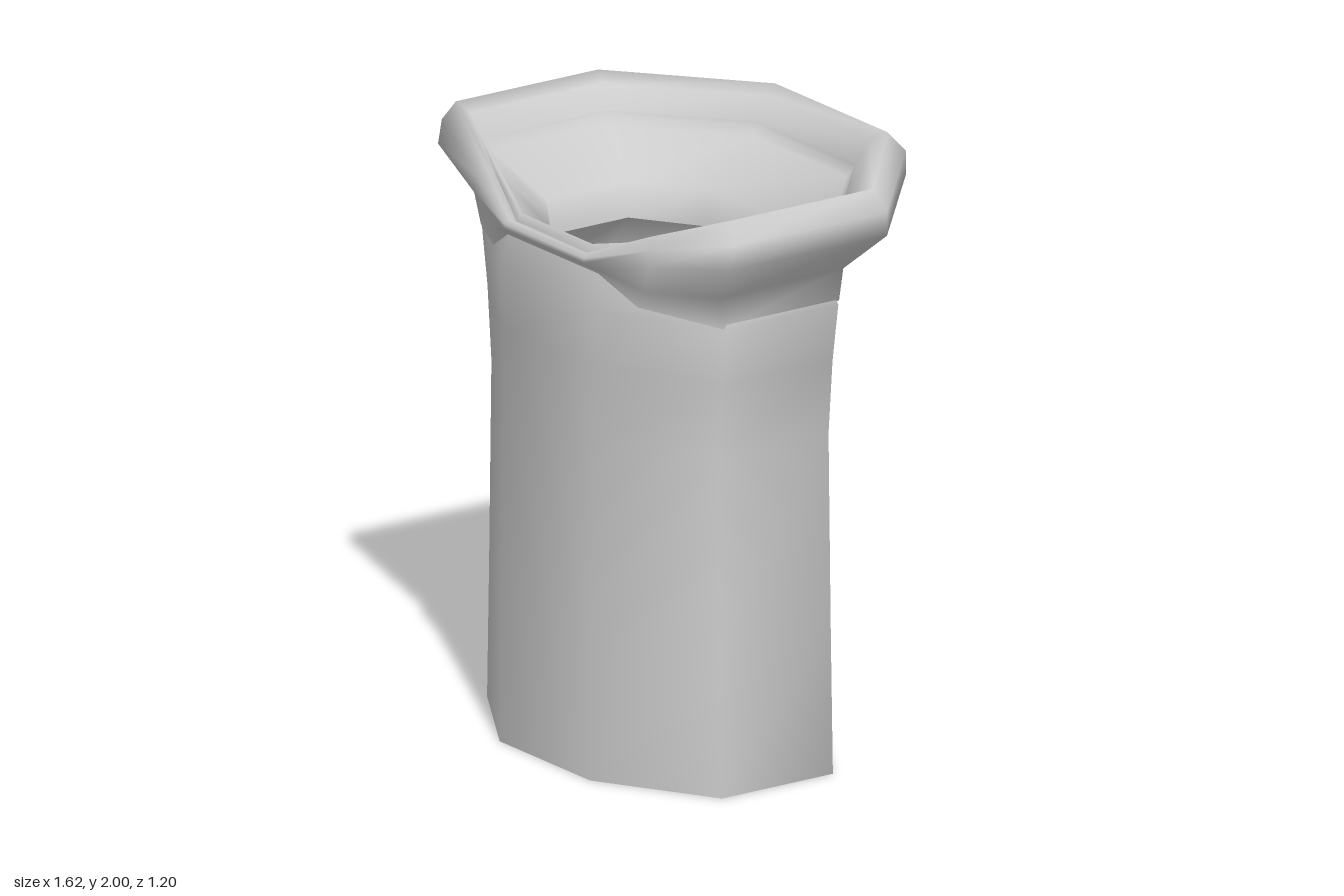
import * as THREE from 'three';

// Closed ring from corners [x, y, z] listed front to back on the +x half, then mirrored
function ring(...half) {
  const mirrored = half.map(([x, y, z]) => [-x, y, z]).reverse();
  return [...half, ...mirrored];
}

// Skin a list of rings into one smooth surface
function loft(rings) {
  const n = rings[0].length;
  const index = [];
  for (let r = 0; r < rings.length - 1; r++) {
    for (let i = 0; i < n; i++) {
      const a = r * n + i, b = r * n + (i + 1) % n;
      index.push(a, b, b + n, a, b + n, a + n);
    }
  }
  const geo = new THREE.BufferGeometry();
  geo.setAttribute('position', new THREE.Float32BufferAttribute(rings.flat(2), 3));
  geo.setIndex(index);
  geo.computeVertexNormals();
  return geo;
}

// Body cross-section: height, half width, front z, inset from the outer wall
function bodyRing(y, w, front, inset = 0) {
  return ring(
    [0.25 - inset * 0.4, y, front - inset],
    [w - inset, y, 0.36 - inset * 0.4],
    [w - inset, y, -0.08 + inset * 0.4],
    [0.25 - inset * 0.4, y, -0.32 + inset]
  );
}

export function createModel() {
  const group = new THREE.Group();
  const grey = new THREE.MeshStandardMaterial({ color: 0xcccccc, side: THREE.DoubleSide });
  const black = new THREE.MeshStandardMaterial({ color: 0x15181b });

  const add = (name, geo, mat) => {
    const mesh = new THREE.Mesh(geo, mat);
    mesh.name = name;
    group.add(mesh);
    return mesh;
  };

  // Tube body: from the neck down the lining, round the hem and up the outside
  const profile = [
    [0, 0.65, 0.597], [0.5, 0.638, 0.592], [1.15, 0.626, 0.585], [1.4, 0.648, 0.585], [1.6, 0.68, 0.597]
  ];
  const neck = ring([0.18, 1.62, 0.43], [0.4, 1.62, 0.28], [0.4, 1.62, -0.02], [0.18, 1.62, -0.17]);
  const lining = profile.slice(0, 4).reverse().map(([y, w, f]) => bodyRing(y, w, f, 0.05));
  const hem = bodyRing(-0.0, 0.65, 0.597, 0.02);
  const outside = profile.map(([y, w, f]) => bodyRing(y, w, f));
  const shoulder = ring([0.25, 1.73, 0.56], [0.64, 1.66, 0.35], [0.64, 1.66, -0.07], [0.25, 1.66, -0.3]);
  add('body', loft([neck, ...lining, hem, ...outside, shoulder]), grey);

  // Flared collar: up the outside and over the rolled rim, which dips at the front
  const rimEdge = ring([0.2, 1.765, 0.56], [0.42, 1.825, 0.475], [0.65, 1.9, 0.38], [0.65, 1.9, -0.11], [0.27, 1.9, -0.44]);
  add('collar', loft([
    ring([0.25, 1.715, 0.565], [0.4, 1.63, 0.515], [0.67, 1.6, 0.37], [0.67, 1.61, -0.09], [0.27, 1.58, -0.325]),
    ring([0.25, 1.73, 0.575], [0.43, 1.69, 0.515], [0.68, 1.71, 0.39], [0.68, 1.72, -0.1], [0.28, 1.72, -0.4]),
    ring([0.22, 1.75, 0.6], [0.48, 1.79, 0.53], [0.81, 1.85, 0.44], [0.81, 1.85, -0.18], [0.33, 1.85, -0.6]),
    ring([0.22, 1.765, 0.6], [0.48, 1.845, 0.525], [0.81, 1.93, 0.425], [0.81, 1.93, -0.18], [0.33, 1.93, -0.6]),
    ring([0.21, 1.778, 0.585], [0.46, 1.885, 0.505], [0.76, 2, 0.405], [0.76, 2, -0.16], [0.31, 2, -0.54]),
    ring([0.2, 1.775, 0.57], [0.44, 1.865, 0.485], [0.7, 1.975, 0.39], [0.7, 1.975, -0.13], [0.285, 1.975, -0.49]),
    rimEdge
  ]), grey);

  // Inner funnel: a thin lip inside the rim, sloping in to the neck and turning down
  add('collarLining', loft([
    rimEdge,
    ring([0.2, 1.8, 0.552], [0.42, 1.85, 0.466], [0.645, 1.895, 0.375], [0.645, 1.885, -0.107], [0.268, 1.885, -0.435]),
    ring([0.2, 1.79, 0.535], [0.41, 1.83, 0.455], [0.62, 1.865, 0.365], [0.62, 1.86, -0.1], [0.26, 1.86, -0.415]),
    ring([0.19, 1.735, 0.445], [0.305, 1.735, 0.367], [0.42, 1.735, 0.29], [0.42, 1.735, -0.03], [0.19, 1.735, -0.195]),
    ring([0.18, 1.62, 0.43], [0.29, 1.62, 0.355], [0.4, 1.62, 0.28], [0.4, 1.62, -0.02], [0.18, 1.62, -0.17])
  ]), grey);

  // Thin fastening strip down the back
  const strip = add('backStrip', new THREE.BoxGeometry(0.06, 1.5, 0.02), black);
  strip.position.set(0, 0.81, -0.323);
  strip.rotation.x = 0.006;

  return group;
}
